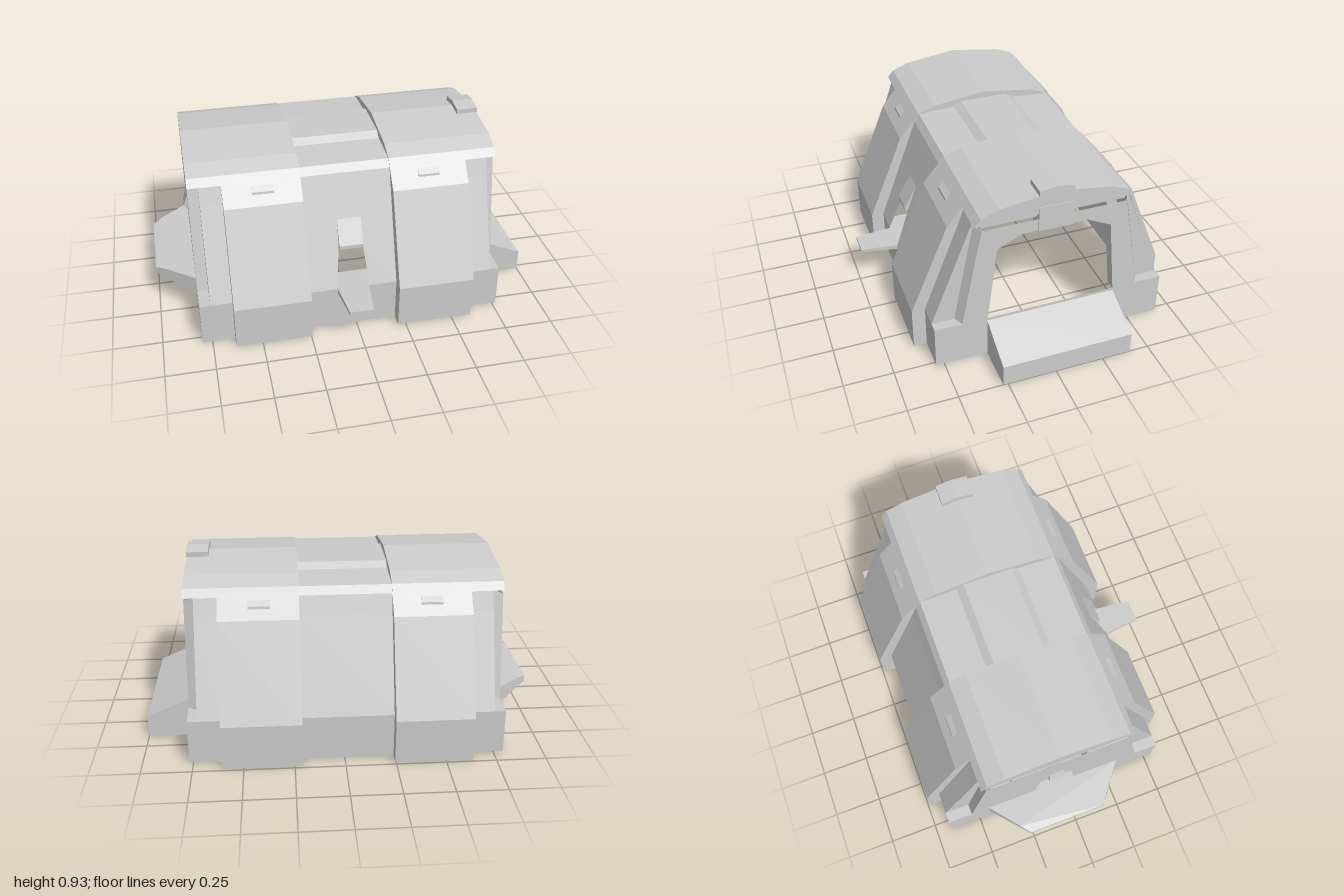
import * as THREE from 'three';

const ZC = -0.063; // centre line of the shelter in z
const mat = new THREE.MeshStandardMaterial({ color: 0xcccccc, flatShading: true, side: THREE.DoubleSide });

export function createModel() {
  const root = new THREE.Group();

  const add = (name, geo) => {
    const mesh = new THREE.Mesh(geo, mat);
    mesh.name = name;
    root.add(mesh);
    return mesh;
  };

  // skin stretched over rows of points, all rows of equal length
  const loft = (name, rows) => {
    const p = [];
    for (let i = 0; i + 1 < rows.length; i++)
      for (let j = 0; j + 1 < rows[i].length; j++) {
        const [a, b, c, d] = [rows[i][j], rows[i][j + 1], rows[i + 1][j + 1], rows[i + 1][j]];
        p.push(...a, ...b, ...c, ...a, ...c, ...d);
      }
    const g = new THREE.BufferGeometry();
    g.setAttribute('position', new THREE.Float32BufferAttribute(p, 3));
    g.computeVertexNormals();
    return add(name, g);
  };

  // flat outline with optional hole, placed by a rule (u, v) => [x, y, z]
  const plate = (name, pts, place, hole) => {
    const vec = (l) => l.map(([u, v]) => new THREE.Vector2(u, v));
    const shape = new THREE.Shape(vec(pts));
    if (hole) shape.holes.push(new THREE.Path(vec(hole)));
    const g = new THREE.ShapeGeometry(shape);
    const pos = g.attributes.position;
    for (let i = 0; i < pos.count; i++) pos.setXYZ(i, ...place(pos.getX(i), pos.getY(i)));
    g.computeVertexNormals();
    return add(name, g);
  };

  const box = (name, x0, x1, y0, y1, z0, z1) =>
    add(name, new THREE.BoxGeometry(x1 - x0, y1 - y0, z1 - z0))
      .position.set((x0 + x1) / 2, (y0 + y1) / 2, (z0 + z1) / 2);

  const atX = (x) => (w, y) => [x, y, ZC + w];
  const row = (pts, x, s = 1) => pts.map(([w, y]) => [x, y, ZC + s * w]);
  const both = (half) => [...half, ...half.slice().reverse().filter(([w]) => w > 0).map(([w, y]) => [-w, y])];

  // half profiles as [distance from centre line, height]
  const thin = [[0.605, 0], [0.605, 0.23], [0.426, 0.7], [0.395, 0.79]];
  const bulge = [[0.672, 0], [0.672, 0.23], [0.48, 0.7], [0.402, 0.792]];
  const roof = both([[0.402, 0.792], [0.37, 0.83], [0.28, 0.865], [0, 0.903]]);
  const midRoof = both([[0.395, 0.79], [0.367, 0.828], [0.28, 0.834], [0.17, 0.84], [0.13, 0.866]]);
  const slopeW = (y) => 0.605 - (y - 0.23) * 0.375;

  // side walls with two bulging bays, steps included
  for (const s of [1, -1]) {
    const run = (...list) => list.map(([p, x]) => row(p, x, s));
    loft('rightSideWall', run([thin, -0.745], [thin, -0.635], [bulge, -0.635], [bulge, -0.245], [thin, -0.245]));
    loft('leftSideWall', run([thin, 0.21], [bulge, 0.21], [bulge, 0.605], [thin, 0.605], [thin, 0.72]));
    if (s < 0) loft('backMiddleWall', run([thin, -0.245], [thin, 0.21]));
    else loft('frontMiddleBase', run([thin.slice(0, 2), -0.245], [thin.slice(0, 2), 0.21]));

    // end corners: base, ledge, step and set-back wall edge
    for (const [step, end, wIn, wOut] of [[0.72, 0.77, 0.49, 0.465], [-0.745, -0.8, 0.475, 0.475]]) {
      const base = thin.slice(0, 2);
      loft('cornerBase', run([base, step], [base, end]));
      loft('cornerLedge', [
        [[step, 0.23, ZC + s * 0.605], [step, 0.23, ZC + s * wIn]],
        [[end, 0.23, ZC + s * 0.605], [end, 0.23, ZC + s * wOut]]]);
      const edgeIn = [[wIn, 0.23], [wIn - 0.099, 0.765], [wIn - 0.103, 0.79]];
      const edgeOut = [[wOut, 0.23], [wOut - 0.099, 0.765], [wOut - 0.103, 0.765]];
      loft('cornerStep', run([[[0.605, 0.23], [0.4, 0.765], [0.395, 0.79]], step], [edgeIn, step], [edgeOut, end]));
    }

    // slim wedge hooks under the eaves
    const hook = [[0.443, 0.745], [0.441, 0.757], [0.414, 0.779]];
    for (const x of [-0.437, 0.405]) {
      loft('eaveHook', run([hook, x - 0.054], [hook, x + 0.054]));
      for (const dx of [-0.054, 0.054]) plate('hookEnd', hook, (w, y) => [x + dx, y, ZC + s * w]);
    }
  }

  // roof sections with gables, and the lower middle with a raised spine
  for (const [x0, x1, end] of [[-0.8, -0.245, -0.8], [0.21, 0.77, 0.77]]) {
    loft('roof', [row(roof, x0), row(roof, x1)]);
    plate('roofGable', roof, atX(end));
    const inner = x0 === end ? x1 : x0;
    plate('roofStep', [...roof, ...midRoof.slice().reverse()], atX(inner));
    const inset = end > 0 ? 0.72 : -0.745;
    loft('roofOverhang', [
      [[inset, 0.792, ZC - 0.4], [inset, 0.792, ZC + 0.4]],
      [[end, 0.792, ZC - 0.4], [end, 0.792, ZC + 0.4]]]);
    box('gableRecess', Math.min(inset, end * 0.97), Math.max(inset, end * 0.97), 0.765, 0.792, ZC - 0.365, ZC + 0.365);
  }
  loft('middleRoof', [row(midRoof, -0.245), row(midRoof, 0.21)]);

  // front middle wall with its doorway
  const door = [[-0.1, 0.23], [-0.078, 0.45], [0.045, 0.45], [0.068, 0.23]];
  plate('frontDoorWall', [[-0.245, 0.23], ...door, [0.21, 0.23], [0.21, 0.79], [-0.245, 0.79]],
    (x, y) => [x, y, ZC + slopeW(y)]);
  loft('frontDoorSill', [
    [[-0.2, 0.228, 0.54], [0.17, 0.228, 0.54]],
    [[-0.2, 0.228, 0.4], [0.17, 0.228, 0.4]]]);

  // hood jutting out above the front door
  const hood = [[slopeW(0.57), 0.57], [0.546, 0.45], [0.546, 0.43], [slopeW(0.43) - 0.02, 0.43]];
  loft('frontDoorHood', [row(hood, -0.078), row(hood, 0.045)]);
  for (const x of [-0.078, 0.045]) plate('hoodCheek', hood, atX(x));

  // flap outside the front door
  const flap = [[-0.1, 0.52], [0.068, 0.52], [0.042, 0.735], [-0.078, 0.735]];
  const flapLowY = (z) => (z > 0.6 ? 0.214 : 0.203);
  const flapTop = flap.map(([x, z]) => [x, 0.23, z]);
  const flapLow = flap.map(([x, z]) => [x, flapLowY(z), z]);
  loft('frontFlapEdge', [[...flapTop, flapTop[0]], [...flapLow, flapLow[0]]]);
  plate('frontFlapTop', flap, (x, z) => [x, 0.23, z]);
  plate('frontFlapUnderside', flap, (x, z) => [x, flapLowY(z), z]);

  // end walls with a wide gateway on the left and a small door on the right
  const endWall = (w) => both([[0.605, 0], [0.605, 0.23], [w, 0.23], [w - 0.1, 0.765]]);
  const gate = both([[0.335, 0.23], [0.29, 0.64], [0.165, 0.7]]);
  plate('leftEndWall', endWall(0.465), atX(0.77), gate);
  loft('gatewayReveal', [row(gate, 0.77), row(gate, 0.715)]);
  const smallDoor = both([[0.114, 0.23], [0.087, 0.44]]);
  plate('rightEndWall', endWall(0.475), atX(-0.8), smallDoor);
  loft('rightDoorReveal', [row(smallDoor, -0.8), row(smallDoor, -0.745)]);
  box('rightDoorHeader', -0.8, -0.74, 0.44, 0.455, ZC - 0.087, ZC + 0.087);

  // wedge lamps over the right door, outside and inside
  for (const [name, lamp] of [
    ['outerLamp', [[-0.8, 0.45], [-0.82, 0.475], [-0.815, 0.49], [-0.8, 0.54]]],
    ['innerLamp', [[-0.8, 0.455], [-0.75, 0.48], [-0.77, 0.53], [-0.8, 0.53]]]]) {
    const sides = [ZC - 0.042, ZC + 0.042];
    loft(name, sides.map((z) => lamp.map(([x, y]) => [x, y, z])));
    for (const z of sides) plate(name + 'Cheek', lamp, (x, y) => [x, y, z]);
  }

  // inner ribs and floor plate behind the right door
  for (const s of [1, -1]) {
    const z = ZC + s * 0.2;
    box('innerRib', -0.8, -0.74, 0.23, 0.7, z - 0.033, z + 0.033);
    box('innerRibHead', -0.8, -0.735, 0.57, 0.7, z - 0.042, z + 0.042);
  }
  loft('innerFloor', [
    [[-0.8, 0.228, -0.4], [-0.8, 0.228, 0.5]],
    [[-0.54, 0.228, -0.4], [-0.54, 0.228, 0.5]]]);

  // lintel block and roof hatch above the gateway
  box('gatewayLintel', 0.7, 0.775, 0.698, 0.83, ZC - 0.087, ZC + 0.087);
  const hatch = [[0.087, 0.89], [0.087, 0.917], [0, 0.93], [-0.087, 0.917], [-0.087, 0.89]];
  loft('roofHatch', [row(hatch, 0.66), row(hatch, 0.772)]);
  for (const x of [0.66, 0.772]) plate('hatchEnd', [...hatch, [0, 0.9]], atX(x));

  // entrance ramp, open underneath
  const ramp = [[0.77, 0.215], [1, 0.115], [1, 0]];
  loft('ramp', [0.275, -0.4].map((z) => ramp.map(([x, y]) => [x, y, z])));
  for (const z of [0.275, -0.4]) plate('rampSide', [...ramp, [0.77, 0]], (x, y) => [x, y, z]);

  // tapered landing outside the right door
  const rim = [[-0.8, 0.3], [-0.95, 0.185], [-1, 0.145], [-1, -0.275], [-0.95, -0.315], [-0.8, -0.44]];
  const topY = (x) => (x < -0.97 ? 0.217 : 0.228);
  const lowY = (x) => 0.12 + (-0.8 - x) * 0.325;
  loft('landingEdge', [rim.map(([x, z]) => [x, topY(x), z]), rim.map(([x, z]) => [x, lowY(x), z])]);
  plate('landingTop', rim, (x, z) => [x, topY(x), z]);
  plate('landingUnderside', rim, (x, z) => [x, lowY(x), z]);

  return root;
}
